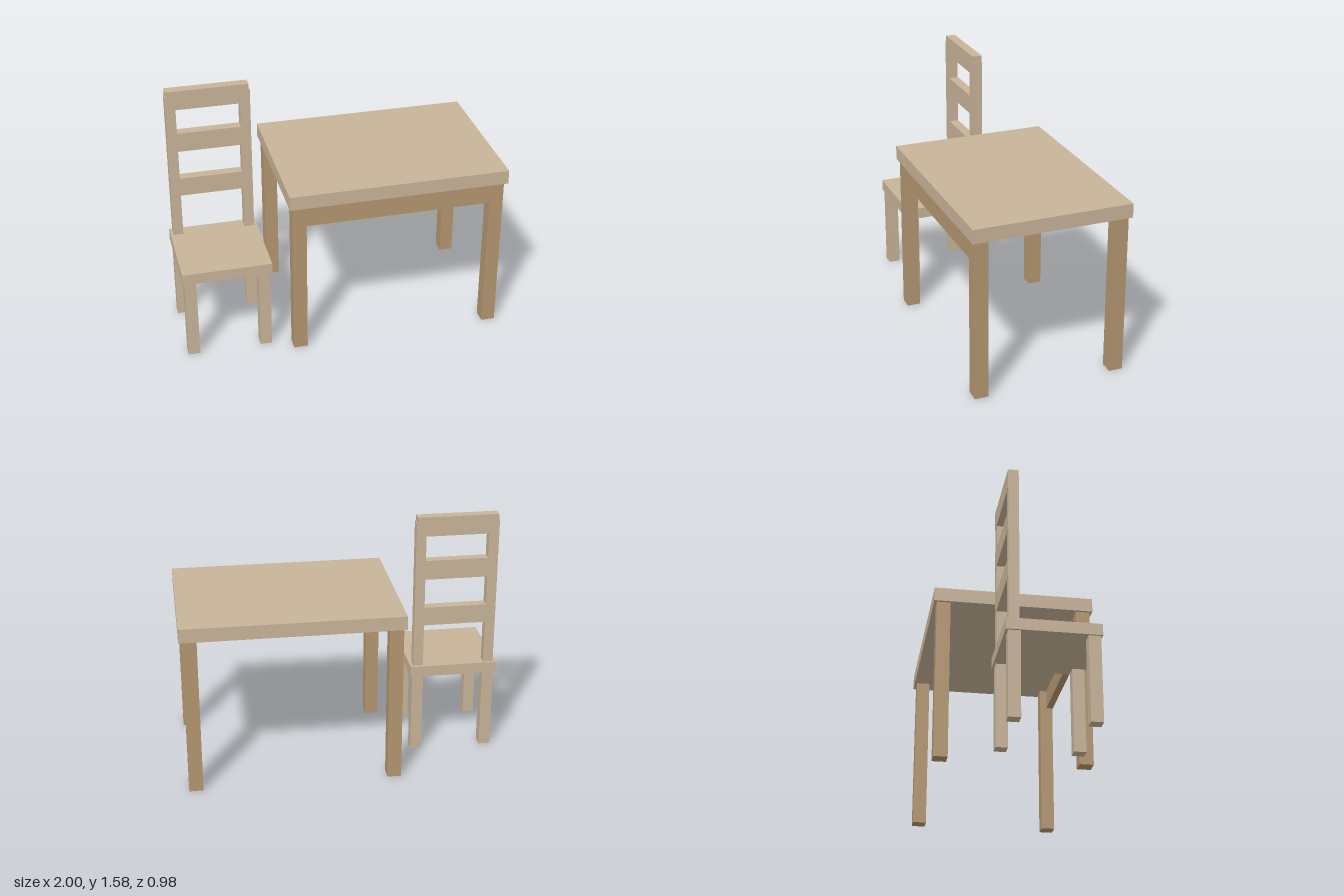
import * as THREE from 'three';

export function createModel() {
  const paleWood = new THREE.MeshStandardMaterial({ name: 'paleWood', color: 0xc8b499 });
  const brownWood = new THREE.MeshStandardMaterial({ name: 'brownWood', color: 0xb49670 });

  // Adds a box given its [min, max] extent along each axis
  function addBox(parent, name, material, [x0, x1], [y0, y1], [z0, z1]) {
    const mesh = new THREE.Mesh(new THREE.BoxGeometry(x1 - x0, y1 - y0, z1 - z0), material);
    mesh.position.set((x0 + x1) / 2, (y0 + y1) / 2, (z0 + z1) / 2);
    mesh.name = name;
    parent.add(mesh);
  }

  const model = new THREE.Group();
  model.name = 'tableAndChair';

  // Table: thick top, four legs and a single front apron
  const table = new THREE.Group();
  table.name = 'table';
  addBox(table, 'tableTop', paleWood, [-0.355, 1], [1.003, 1.09], [-0.49, 0.49]);
  for (const x of [[-0.338, -0.252], [0.893, 0.979]]) {
    for (const z of [[0.389, 0.474], [-0.474, -0.389]]) {
      addBox(table, 'tableLeg', brownWood, x, [0, 1.003], z);
    }
  }
  addBox(table, 'tableApron', brownWood, [-0.295, 0.936], [0.876, 1.003], [0.433, 0.478]);

  // Chair: seat, four legs, two back posts and three slats
  const chair = new THREE.Group();
  chair.name = 'chair';
  addBox(chair, 'seat', paleWood, [-1, -0.45], [0.521, 0.591], [-0.153, 0.397]);
  for (const x of [[-0.988, -0.916], [-0.534, -0.462]]) {
    for (const z of [[0.316, 0.388], [-0.14, -0.068]]) {
      addBox(chair, 'chairLeg', paleWood, x, [0, 0.521], z);
    }
  }
  for (const x of [[-0.983, -0.921], [-0.531, -0.469]]) {
    addBox(chair, 'backPost', paleWood, x, [0.591, 1.54], [-0.135, -0.073]);
  }
  for (const y of [[0.867, 0.986], [1.173, 1.296], [1.454, 1.577]]) {
    addBox(chair, 'backSlat', paleWood, [-0.977, -0.475], y, [-0.137, -0.075]);
  }

  model.add(table, chair);
  return model;
}
